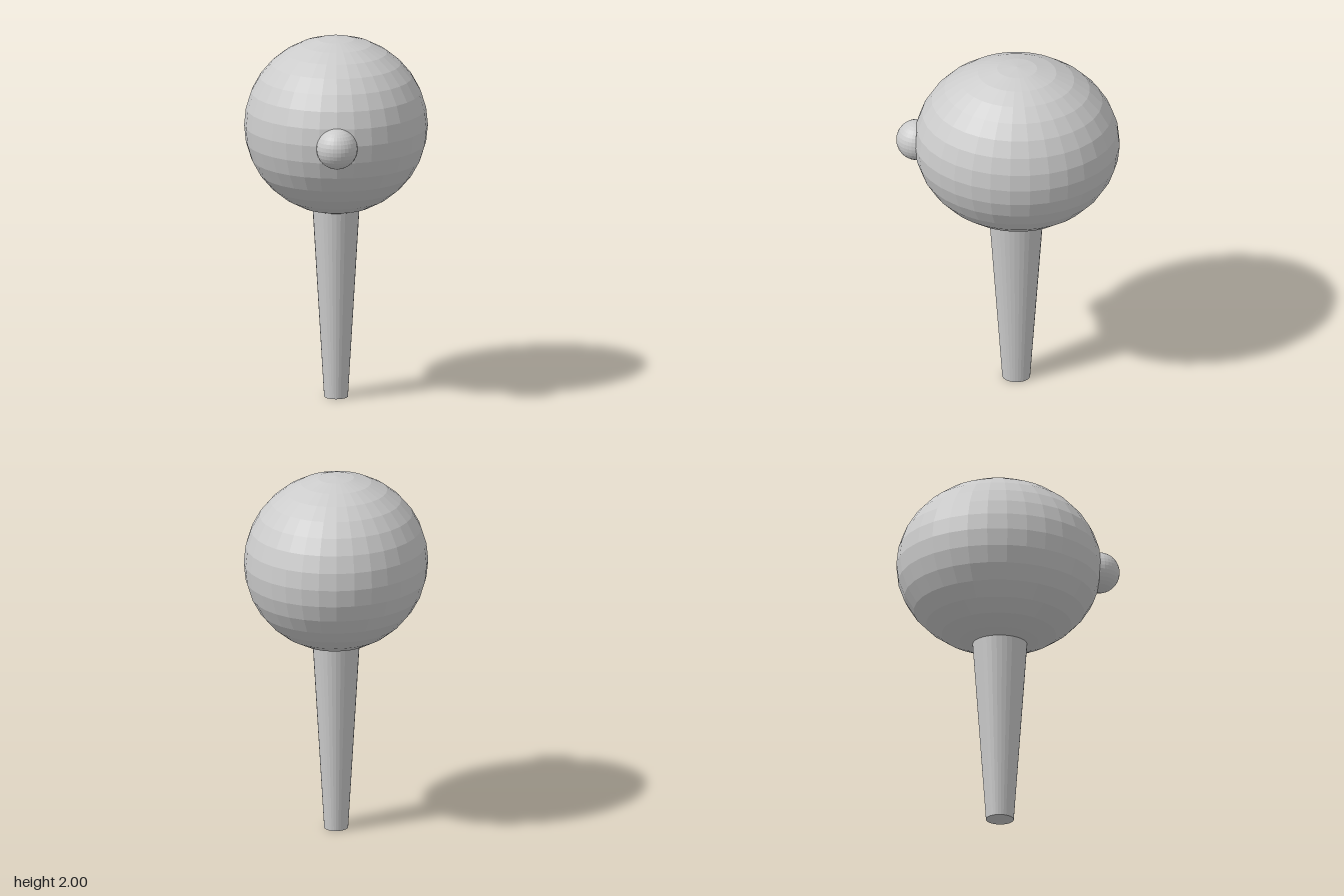
import * as THREE from 'three';

const material = new THREE.MeshStandardMaterial({ color: 0xcccccc, flatShading: true });

function addPart(group, name, geometry, position, scale) {
  const mesh = new THREE.Mesh(geometry, material);
  mesh.name = name;
  mesh.position.set(...position);
  mesh.scale.set(...scale);
  group.add(mesh);
}

export function createModel() {
  const group = new THREE.Group();

  // Faceted egg-like head, deeper than it is wide
  addPart(group, 'head', new THREE.SphereGeometry(1, 32, 16), [0, 1.515, -0.049], [0.5, 0.485, 0.56]);

  // Small round nose on the front of the head
  addPart(group, 'nose', new THREE.SphereGeometry(0.112, 32, 16), [0, 1.503, 0.498], [1, 1, 1]);

  // Oval stem tapering towards the ground, its top sunk into the head
  const stemHeight = 1.06;
  addPart(group, 'stem', new THREE.CylinderGeometry(0.128, 0.065, stemHeight, 32),
    [0, stemHeight / 2, -0.044], [1, 1, 1.17]);

  return group;
}
